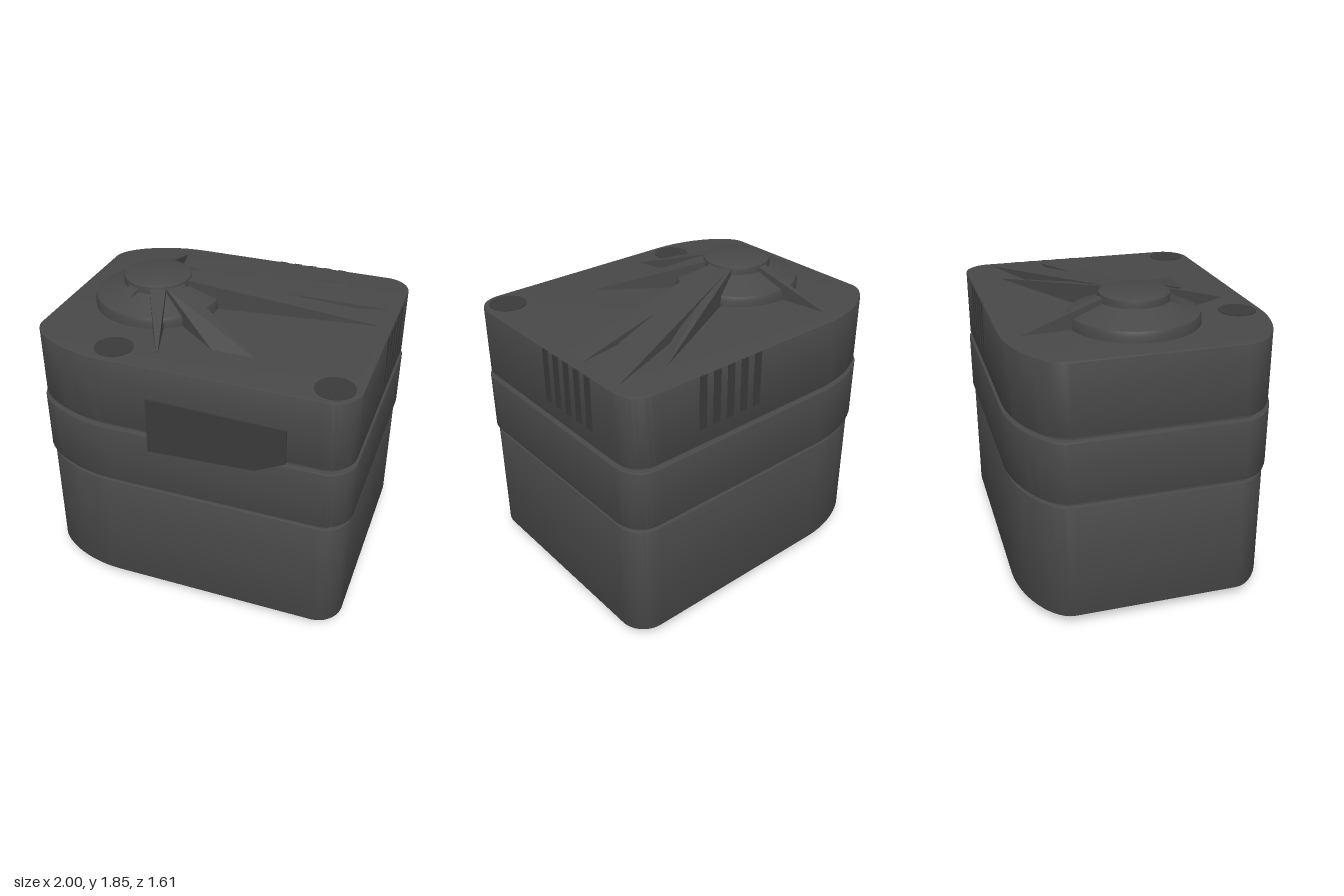
import * as THREE from 'three';
import { toCreasedNormals } from 'three/addons/utils/BufferGeometryUtils.js';
import { ConvexGeometry } from 'three/addons/geometries/ConvexGeometry.js';

const DARK = 0x484848, DARKER = 0x3a3a3a;
const KNOB_X = -0.45;

const smooth = new THREE.MeshStandardMaterial({ color: DARK });
const faceted = new THREE.MeshStandardMaterial({ color: DARK, flatShading: true });
const inset = new THREE.MeshStandardMaterial({ color: DARKER });

// Footprint: tight corners on the +x end, long sweeping corners on the -x end
function footprint(d = 0) {
  const X = 0.995 - d, Z = 0.797 - d, r = 0.17 - d;
  const s = new THREE.Shape();
  s.moveTo(-0.46, -Z);
  s.lineTo(X - r, -Z);
  s.absarc(X - r, -Z + r, r, -Math.PI / 2, 0, false);
  s.lineTo(X, Z - r);
  s.absarc(X - r, Z - r, r, 0, Math.PI / 2, false);
  s.lineTo(-0.46, Z);
  s.bezierCurveTo(-0.72, Z, -X, 0.65 - d, -X, 0.52 - d);
  s.lineTo(-X, -0.52 + d);
  s.bezierCurveTo(-X, -0.65 + d, -0.72, -Z, -0.46, -Z);
  return s;
}

// One horizontal layer of the case between two heights
function layer(name, y0, y1, d, bevel = 0.008) {
  const g = new THREE.ExtrudeGeometry(footprint(d + bevel), {
    depth: y1 - y0 - 2 * bevel, bevelEnabled: bevel > 0, bevelSize: bevel,
    bevelThickness: bevel, bevelSegments: 2, curveSegments: 14,
  });
  g.rotateX(-Math.PI / 2);
  g.translate(0, y0 + bevel, 0);
  return mesh(name, toCreasedNormals(g, 0.6), smooth);
}

function mesh(name, geometry, material, x = 0, y = 0, z = 0) {
  const m = new THREE.Mesh(geometry, material);
  m.name = name;
  m.position.set(x, y, z);
  return m;
}

function lathe(name, profile, x) {
  const pts = profile.map(([r, y]) => new THREE.Vector2(r, y));
  const g = toCreasedNormals(new THREE.LatheGeometry(pts, 40), 0.5);
  const m = mesh(name, g, smooth.clone(), x);
  m.material.side = THREE.DoubleSide;
  return m;
}

// Wedge running from the hub (radius r, height yHub) down to a tip on the plate
function ridge(name, r, half, yHub, yPlate, tips) {
  const cx = tips.reduce((s, t) => s + t[0], 0) / tips.length;
  const cz = tips.reduce((s, t) => s + t[1], 0) / tips.length;
  const a = Math.atan2(cz, cx - KNOB_X);
  const pts = [];
  for (const k of [-1, 1]) {
    const x = KNOB_X + r * Math.cos(a + k * half), z = r * Math.sin(a + k * half);
    pts.push(new THREE.Vector3(x, yHub, z), new THREE.Vector3(x, yPlate, z));
  }
  for (const [x, z] of tips) pts.push(new THREE.Vector3(x, yPlate, z));
  return mesh(name, new ConvexGeometry(pts), faceted);
}

export function createModel() {
  const model = new THREE.Group();

  // Case layers, with recessed cores showing as seams between them
  model.add(
    layer('lowerBody', 0.065, 0.8, 0.008),
    layer('lowerSeam', 0.79, 0.84, 0.03, 0),
    layer('middleBody', 0.83, 1.205, -0.005),
    layer('upperSeam', 1.19, 1.24, 0.03, 0),
    layer('upperBody', 1.23, 1.662, 0.003),
  );

  // Knob on the lid with its sloping skirt
  model.add(lathe('lidKnob', [
    [0, 1.848], [0.185, 1.848], [0.205, 1.838], [0.21, 1.815], [0.21, 1.65],
  ], KNOB_X));
  model.add(lathe('knobSkirt', [
    [0.2, 1.8], [0.27, 1.77], [0.38, 1.725], [0.39, 1.7], [0.39, 1.65],
  ], KNOB_X));

  // Fan of ridges over the lid
  const lidRidges = [
    [0.3, [[0.98, -0.62], [0.98, -0.36]]],
    [0.25, [[0.98, -0.28], [0.98, -0.12]]],
    [0.2, [[0.65, -0.62], [0.58, -0.5]]],
    [0.3, [[0.36, 0.5], [0.1, 0.5]]],
    [0.25, [[-0.17, 0.68]]],
    [0.2, [[-0.6, 0.38]]],
    [0.15, [[-0.54, -0.7]]],
  ];
  for (const [half, tips] of lidRidges) {
    model.add(ridge('lidRidge', 0.2, half, 1.83, 1.655, tips));
  }

  // Round caps near the front edge of the lid
  for (const x of [-0.45, 0.84]) {
    model.add(mesh('lidCap', new THREE.CylinderGeometry(0.112, 0.112, 0.01, 32), inset, x, 1.661, 0.645));
  }

  // Vent slats on the +x side and on the back
  for (let i = 0; i < 5; i++) {
    const h = 0.33, y = 1.495;
    model.add(mesh('sideVentSlat', new THREE.BoxGeometry(0.02, h, 0.05), inset, 0.987, y, -0.01 - i * 0.1));
    model.add(mesh('backVentSlat', new THREE.BoxGeometry(0.05, h, 0.02), inset, 0.12 + i * 0.1, y, -0.789));
  }

  // Front latch: flush plate bridging the seam, tapering to one side below
  const latch = new THREE.Shape([
    [-0.2, 1.1], [0.45, 1.13], [0.63, 1.22], [0.63, 1.44], [-0.2, 1.46],
  ].map(([x, y]) => new THREE.Vector2(x, y)));
  model.add(mesh('frontLatch',
    new THREE.ExtrudeGeometry(latch, { depth: 0.03, bevelEnabled: false }), inset, 0, 0, 0.774));

  // Foot ring underneath with ridges spreading to the rim
  model.add(lathe('footRing', [
    [0.17, 0.08], [0.18, 0.03], [0.22, 0.006], [0.28, 0], [0.35, 0.004], [0.38, 0.02], [0.38, 0.08],
  ], KNOB_X));
  const footRidges = [
    [[0.97, -0.55], [0.97, -0.2]],
    [[0.97, 0.2], [0.97, 0.55]],
    [[0.3, 0.7], [0, 0.7]],
    [[0.3, -0.7], [0, -0.7]],
    [[-0.4, 0.7]],
    [[-0.4, -0.7]],
  ];
  for (const tips of footRidges) {
    model.add(ridge('footRidge', 0.37, 0.22, 0.008, 0.07, tips));
  }

  return model;
}
